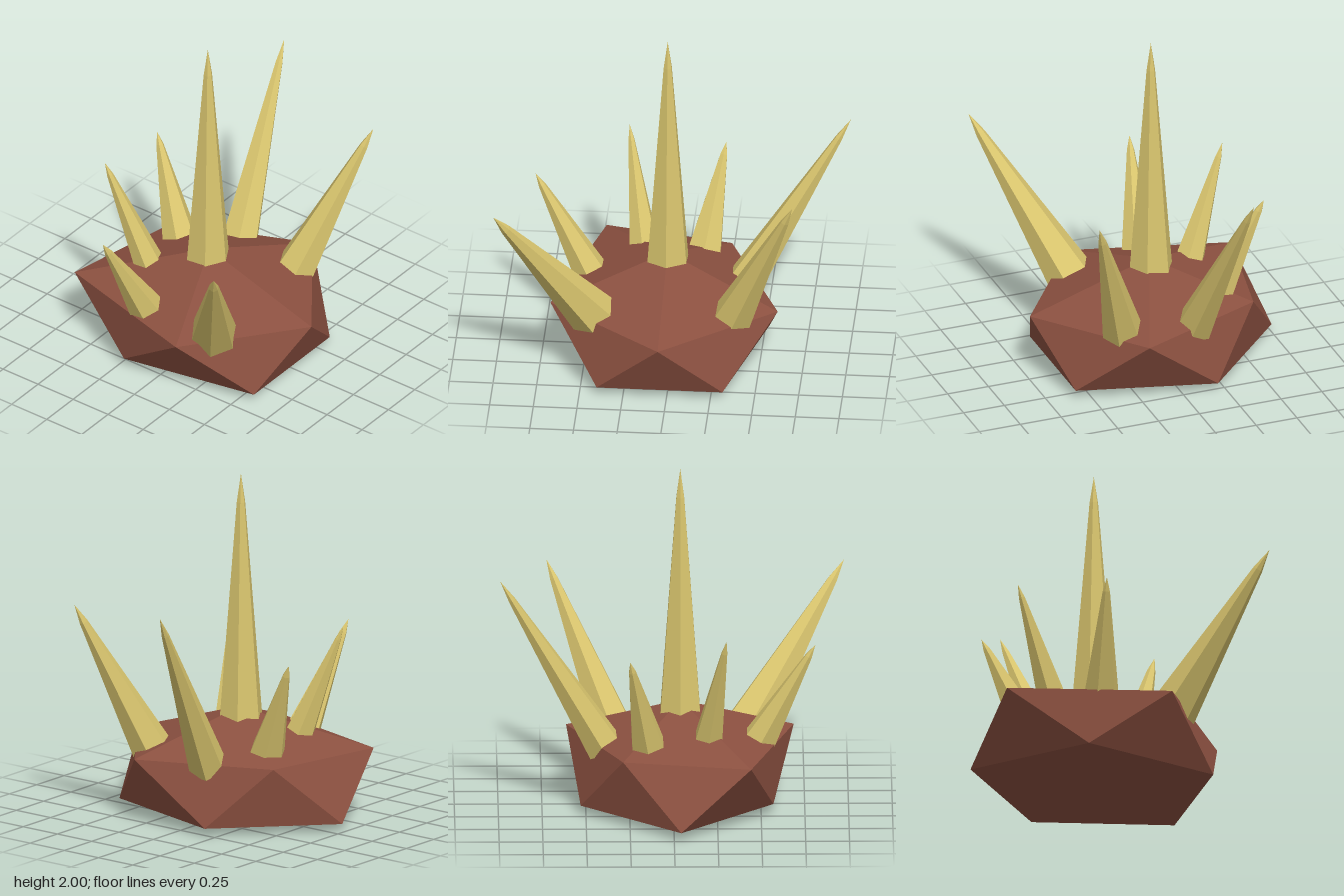
import * as THREE from 'three';

const V = (p) => new THREE.Vector3(...p);

const rockBrown = new THREE.MeshStandardMaterial({ color: 0x8b5040, flatShading: true });
rockBrown.name = 'rockBrown';
const spikeYellow = new THREE.MeshStandardMaterial({ color: 0xd9c56e, flatShading: true });
spikeYellow.name = 'spikeYellow';

// Faceted rock: two staggered rings of five corners with a pole above and below
function makeRock() {
  const top = [0, 0.62, 0.04];
  const bottom = [0, 0, 0.04];
  const upper = [
    [0.73, 0.38, 0.04], [0.25, 0.4, 0.69], [-0.66, 0.4, 0.44], [-0.51, 0.4, -0.29], [0.25, 0.4, -0.61],
  ];
  const lower = [
    [0.59, 0.05, 0.4], [-0.21, 0.06, 0.57], [-0.75, 0.05, 0.04], [-0.2, 0.05, -0.53], [0.59, 0.05, -0.32],
  ];
  const points = [];
  for (let i = 0; i < 5; i++) {
    const j = (i + 1) % 5;
    points.push(
      top, upper[j], upper[i],
      upper[i], upper[j], lower[i],
      upper[j], lower[j], lower[i],
      lower[i], lower[j], bottom,
    );
  }
  const geometry = new THREE.BufferGeometry().setFromPoints(points.map(V));
  geometry.computeVertexNormals();
  const rock = new THREE.Mesh(geometry, rockBrown);
  rock.name = 'rock';
  return rock;
}

// Six-sided spike from its foot on the rock to its tip, sunk a little into the rock
function makeSpike(name, foot, tip, radius, sink = 0.08) {
  const base = V(foot);
  const axis = V(tip).sub(base);
  const length = axis.length();
  axis.normalize();
  const profile = [
    [0, -sink], [radius * 1.04, -sink], [radius * 0.2, length * 0.88], [0, length],
  ].map(([r, y]) => new THREE.Vector2(r, y));
  const geometry = new THREE.LatheGeometry(profile, 6, Math.PI / 6);
  const spike = new THREE.Mesh(geometry, spikeYellow);
  spike.name = name;
  spike.position.copy(base);
  spike.quaternion.setFromUnitVectors(new THREE.Vector3(0, 1, 0), axis);
  return spike;
}

export function createModel() {
  const model = new THREE.Group();
  model.name = 'spikedRock';
  model.add(makeRock());

  const spikes = [
    ['centreSpike', [-0.01, 0.58, 0.04], [-0.01, 2, 0.04], 0.13],
    ['frontLeftSpike', [0.33, 0.38, 0.44], [0.74, 1.23, 0.98], 0.145],
    ['backLeftSpike', [0.32, 0.4, -0.36], [0.6, 1.28, -0.72], 0.125],
    ['backSpike', [-0.12, 0.44, -0.43], [-0.24, 1.4, -0.99], 0.11],
    ['backRightSpike', [-0.36, 0.47, -0.15], [-0.59, 1.02, -0.25], 0.11],
    ['frontRightSpike', [-0.31, 0.48, 0.2], [-0.55, 1.13, 0.3], 0.095],
    ['frontSpike', [-0.11, 0.41, 0.49], [-0.18, 1.0, 0.81], 0.11],
  ];
  for (const spike of spikes) model.add(makeSpike(...spike));
  return model;
}
